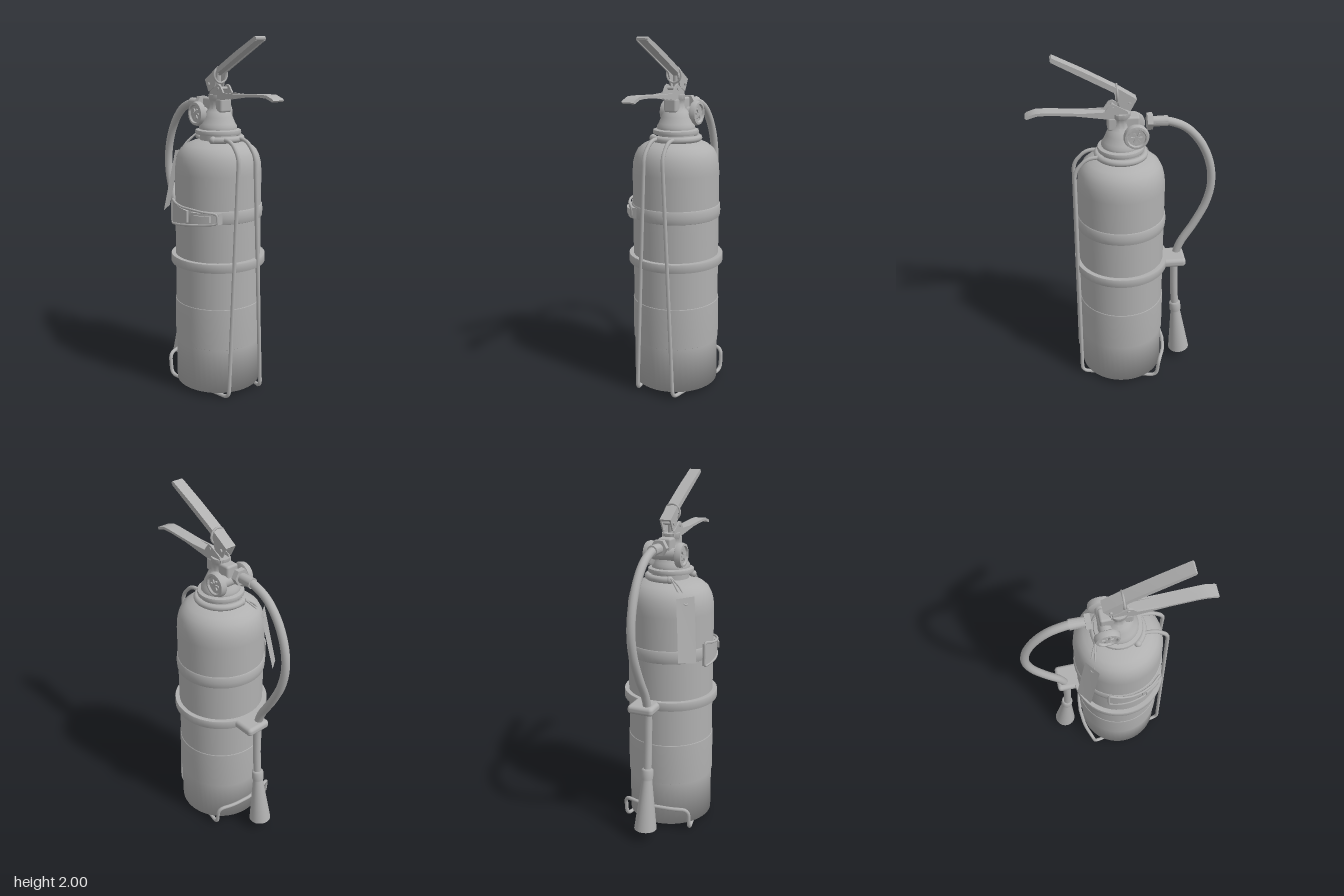
import * as THREE from 'three';
import { RoundedBoxGeometry } from 'three/addons/geometries/RoundedBoxGeometry.js';
import { toCreasedNormals } from 'three/addons/utils/BufferGeometryUtils.js';

const CX = 0.012, R = 0.242; // tank axis and radius

export function createModel() {
  const root = new THREE.Group();
  const grey = new THREE.MeshStandardMaterial({ color: 0xb0b0b0, side: THREE.DoubleSide });
  grey.name = 'plainGrey';

  const v3 = (p) => new THREE.Vector3(...p);
  function add(name, geo, x = 0, y = 0, z = 0) {
    const m = new THREE.Mesh(geo, grey);
    m.name = name;
    m.position.set(x, y, z);
    root.add(m);
    return m;
  }
  const turned = (pts, n = 48) => new THREE.LatheGeometry(pts.map((p) => new THREE.Vector2(...p)), n);

  // Tube along straight runs joined by rounded corners
  function wire(points, r, bend = 0.03, segs = 110, closed = false) {
    const P = points.map(v3), path = new THREE.CurvePath(), n = P.length;
    const near = (a, b) => a.clone().add(b.clone().sub(a).setLength(Math.min(bend, a.distanceTo(b) * 0.45)));
    let last = closed ? near(P[0], P[1]) : P[0];
    for (let i = 1; i < (closed ? n + 1 : n - 1); i++) {
      const c = P[i % n], a = near(c, P[(i - 1) % n]), b = near(c, P[(i + 1) % n]);
      path.add(new THREE.LineCurve3(last, a));
      path.add(new THREE.QuadraticBezierCurve3(a, c, b));
      last = b;
    }
    if (!closed) path.add(new THREE.LineCurve3(last, P[n - 1]));
    return new THREE.TubeGeometry(path, segs, r, 8, closed);
  }

  // Side profile extruded evenly about z = 0
  function slab(name, pts, width, z = 0) {
    const g = new THREE.ExtrudeGeometry(new THREE.Shape(pts.map((p) => new THREE.Vector2(...p))),
      { depth: width, bevelEnabled: false });
    g.translate(0, 0, z - width / 2);
    return add(name, toCreasedNormals(g, 0.6));
  }

  // Tank: base, label sleeve, upper body with dome
  add('tankBase', turned([[0, 0.03], [R, 0.03], [R, 0.29]]), CX);
  add('tankLabel', turned([[R, 0.29], [0.247, 0.293], [0.247, 0.527], [R, 0.53]]), CX);
  add('tankBody', turned([[R, 0.53], [R, 0.9], [R, 1.27], [0.238, 1.32], [0.228, 1.36], [0.21, 1.395],
    [0.18, 1.42], [0.14, 1.437], [0.1, 1.445]]), CX);

  // Neck and valve body
  add('neck', toCreasedNormals(turned([[0.1, 1.42], [0.1, 1.475], [0.125, 1.478], [0.128, 1.488], [0.125, 1.5],
    [0.105, 1.505], [0.105, 1.52], [0.095, 1.535], [0.08, 1.57], [0.066, 1.6], [0.05, 1.615],
    [0.046, 1.64], [0.046, 1.66], [0.05, 1.665], [0.05, 1.69], [0, 1.69]], 32), 0.7), CX);
  add('valveBlock', new RoundedBoxGeometry(0.17, 0.075, 0.075, 2, 0.012), 0, 1.635, 0);

  // Side caps of the valve, mirrored front and back
  add('crossTube', new THREE.CylinderGeometry(0.034, 0.034, 0.15, 24).rotateX(Math.PI / 2), -0.06, 1.585, 0);
  for (const s of [1, -1]) {
    const cap = toCreasedNormals(turned([[0, 0.07], [0.055, 0.07], [0.066, 0.076], [0.068, 0.09], [0.062, 0.108],
      [0.05, 0.11], [0.045, 0.1], [0.03, 0.098], [0, 0.098]], 32), 0.6);
    cap.rotateX(s * Math.PI / 2);
    add('sideCap', cap, -0.06, 1.585, 0);
    for (let i = 0; i < 3; i++) {
      const rib = new THREE.BoxGeometry(0.06, 0.01, 0.008).rotateZ(i * Math.PI / 3);
      add('capRib', rib, -0.06, 1.585, s * 0.102);
    }
  }

  // Hose with its fitting, nut and discharge horn
  add('hoseNut', toCreasedNormals(new THREE.CylinderGeometry(0.046, 0.046, 0.03, 6).rotateZ(Math.PI / 2), 0.5),
    -0.14, 1.632, 0);
  add('hoseFitting', toCreasedNormals(new THREE.CylinderGeometry(0.029, 0.027, 0.085, 20).rotateZ(Math.PI / 2), 0.6),
    -0.193, 1.63, 0);
  const hosePath = new THREE.CatmullRomCurve3([[-0.2, 1.63, 0], [-0.25, 1.625, 0], [-0.34, 1.585, 0],
    [-0.425, 1.49, 0], [-0.48, 1.36, 0], [-0.493, 1.24, 0], [-0.47, 1.12, 0], [-0.405, 0.98, 0],
    [-0.335, 0.86, 0], [-0.307, 0.77, 0], [-0.305, 0.62, 0], [-0.318, 0.39, 0]].map(v3));
  add('hose', new THREE.TubeGeometry(hosePath, 90, 0.023, 12));
  const horn = add('horn', turned([[0, 0.36], [0.024, 0.365], [0.034, 0.355], [0.034, 0.305], [0.029, 0.295], [0.064, 0],
    [0.058, 0], [0.022, 0.29], [0, 0.29]], 28), -0.354, 0.062, 0);
  horn.rotation.z = -0.1;

  // Hose clip around the tank
  add('clipRing', toCreasedNormals(turned([[0.24, 0.75], [0.266, 0.75], [0.268, 0.755], [0.268, 0.795],
    [0.266, 0.8], [0.24, 0.8]]), 0.6), CX);
  add('hoseClip', new RoundedBoxGeometry(0.15, 0.05, 0.15, 3, 0.02), -0.28, 0.775, -0.03);

  // Strap and its front buckle
  add('strap', turned([[0.24, 1.015], [0.248, 1.02], [0.251, 1.052], [0.248, 1.085], [0.24, 1.09]]), CX);
  const onTank = (x, y, r) => [x, y, Math.sqrt(r * r - (x - CX) ** 2)];
  function curvedPlate(name, x0, x1, h0, h1, r, thick) {
    const g = new THREE.BoxGeometry(1, 1, thick, 10, 1, 1), p = g.attributes.position;
    for (let i = 0; i < p.count; i++) {
      const t = p.getX(i) + 0.5;
      const q = onTank(x0 + (x1 - x0) * t, 1.052 + p.getY(i) * (h0 + (h1 - h0) * t), r + p.getZ(i));
      p.setXYZ(i, ...q);
    }
    return add(name, toCreasedNormals(g, 0.6));
  }
  curvedPlate('buckleLever', -0.09, 0.07, 0.125, 0.065, 0.258, 0.012);
  curvedPlate('buckleBase', 0.1, 0.225, 0.06, 0.06, 0.258, 0.016);
  curvedPlate('buckleLatch', 0.12, 0.2, 0.034, 0.034, 0.27, 0.012);
  const loop = [];
  for (let i = 0; i <= 5; i++) loop.push(onTank(-0.09 + i * 0.062, 1.125 - i * 0.009 - (i === 1 || i === 2 ? 0.006 : 0), 0.264));
  for (let i = 5; i >= 0; i--) loop.push(onTank(-0.09 + i * 0.062, 0.985 + i * 0.008, 0.264));
  add('buckleWire', wire(loop, 0.007, 0.02, 120, true));

  // Wire stand: neck ring, two legs, floor runners and rear loop
  const ring = new THREE.TorusGeometry(0.128, 0.018, 10, 48, 4.36);
  ring.rotateZ(-3.49).rotateX(Math.PI / 2);
  add('standNeckRing', ring, CX, 1.455, 0);
  for (const a of [0.87, -3.49]) {
    add('standRingEnd', new THREE.SphereGeometry(0.021, 14, 10), CX + 0.128 * Math.cos(a), 1.455, 0.128 * Math.sin(a));
  }
  for (const s of [1, -1]) {
    add('standLeg', wire([[0.11, 1.46, s * 0.05], [0.2, 1.455, s * 0.052], [0.267, 1.38, s * 0.056],
      [0.267, 0.016, s * 0.115], [-0.185, 0.012, s * 0.2], [-0.2, 0.14, s * 0.2],
      [-0.235, 0.145, s * 0.11], [-0.245, 0.145, 0]], 0.011, 0.04, 160));
  }

  // Hanging tag on a wire loop
  const tag = new THREE.BufferGeometry();
  tag.setAttribute('position', new THREE.Float32BufferAttribute([-0.185, 1.375, 0.115, -0.125, 1.385, 0.195,
    -0.19, 1.035, 0.235, -0.25, 1.045, 0.155], 3));
  tag.setIndex([0, 2, 1, 0, 3, 2]);
  tag.computeVertexNormals();
  add('tag', tag);
  add('tagWire', wire([[-0.115, 1.475, 0.05], [-0.145, 1.42, 0.1], [-0.165, 1.34, 0.155], [-0.15, 1.345, 0.17],
    [-0.13, 1.43, 0.11]], 0.005, 0.02, 50, true));

  // Lower carrying handle: channel with cheeks around the pivot
  slab('carryHandle', [[-0.03, 1.675], [0.08, 1.67], [0.2, 1.688], [0.4, 1.7], [0.45, 1.698], [0.5, 1.682], [0.508, 1.69],
    [0.5, 1.698], [0.45, 1.714], [0.4, 1.714], [0.2, 1.703], [0.09, 1.695], [-0.03, 1.69]], 0.07);
  for (const s of [1, -1]) {
    slab('handleCheek', [[-0.03, 1.67], [0.08, 1.665], [0.25, 1.69], [0.25, 1.702], [0.1, 1.705], [0.075, 1.74],
      [0.055, 1.748], [-0.02, 1.705]], 0.01, s * 0.03);
    // Upper lever side walls
    slab('leverCheek', [[-0.068, 1.768], [-0.035, 1.705], [0.02, 1.73], [0.035, 1.77], [0.05, 1.808],
      [0.362, 1.977], [0.355, 1.99], [0.02, 1.82]], 0.008, s * 0.028);
  }

  // Upper squeeze lever top, pivot stem and pins
  slab('squeezeLever', [[-0.068, 1.768], [-0.06, 1.758], [0.028, 1.805], [0.365, 1.982], [0.366, 1.991], [0.357, 2],
    [0.2, 1.922], [0.02, 1.824]], 0.064);
  add('valveStem', new THREE.CylinderGeometry(0.016, 0.016, 0.11, 16), CX, 1.735, 0);
  for (const [x, y] of [[0.055, 1.725], [-0.03, 1.745]]) {
    add('pivotPin', new THREE.CylinderGeometry(0.009, 0.009, 0.08, 12).rotateX(Math.PI / 2), x, y, 0);
  }
  add('pullRing', new THREE.TorusGeometry(0.043, 0.006, 8, 32).rotateY(Math.PI / 2), 0.034, 1.797, 0);

  return root;
}
